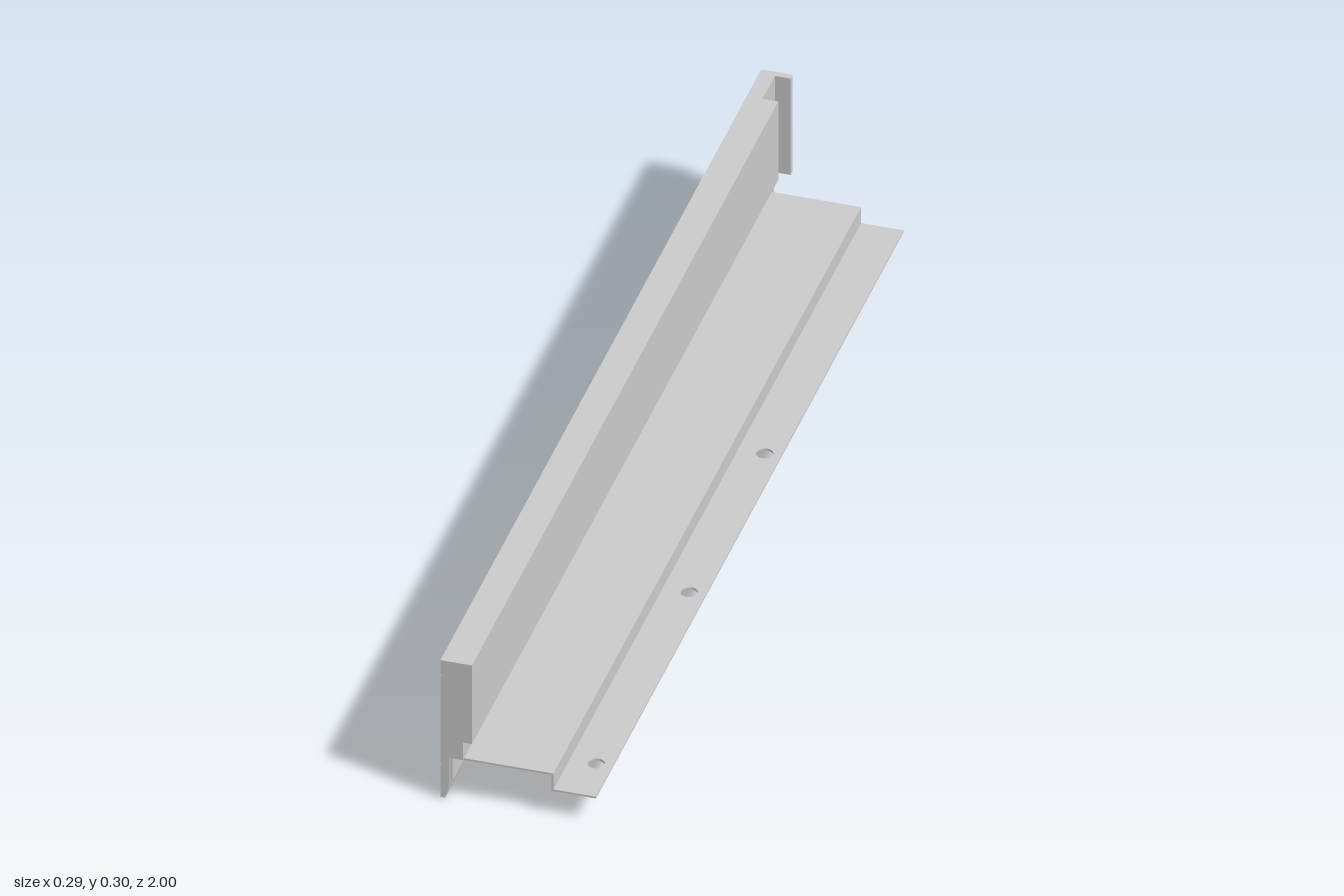
import * as THREE from 'three';

const material = new THREE.MeshStandardMaterial({ color: 0xcccccc, flatShading: true });

// Extrudes an x-y outline between two z positions
function profile(name, points, z0, z1) {
  const shape = new THREE.Shape(points.map(([x, y]) => new THREE.Vector2(x, y)));
  const geometry = new THREE.ExtrudeGeometry(shape, { depth: z1 - z0, bevelEnabled: false });
  geometry.translate(0, 0, z0);
  const mesh = new THREE.Mesh(geometry, material);
  mesh.name = name;
  return mesh;
}

function box(name, x0, x1, y0, y1, z0, z1) {
  const geometry = new THREE.BoxGeometry(x1 - x0, y1 - y0, z1 - z0);
  geometry.translate((x0 + x1) / 2, (y0 + y1) / 2, (z0 + z1) / 2);
  const mesh = new THREE.Mesh(geometry, material);
  mesh.name = name;
  return mesh;
}

export function createModel() {
  const model = new THREE.Group();
  model.name = 'trimRail';

  const outer = -0.147, inner = -0.087, top = 0.303;
  const shelfTop = 0.091, t = 0.004;
  const groove = (y) => [[outer, y + 0.003], [outer + 0.004, y], [outer, y - 0.003]];

  // Upright board with stepped inner face and two shallow outer grooves
  model.add(profile('board', [
    [outer, shelfTop], [-0.104, shelfTop], [-0.104, 0.13], [inner, 0.13],
    [inner, top], [outer, top], ...groove(0.27),
  ], -0.91, 1));

  // Tapered lip hanging below the board
  model.add(profile('lowerLip', [
    [outer, 0.002], [-0.138, 0.002], [-0.134, 0.017], [-0.13, 0.035],
    [-0.13, shelfTop], [outer, shelfTop], ...groove(0.075),
  ], -0.965, 1));

  // Thinner back end of the board, with its foot and return flange
  model.add(profile('backWeb', [
    [outer, shelfTop], [-0.117, shelfTop], [-0.117, top], [outer, top], ...groove(0.27),
  ], -1, -0.91));
  model.add(box('backFoot', outer, -0.123, 0, shelfTop, -1, -0.965));
  model.add(box('backFlange', -0.117, inner, shelfTop, top, -1, -0.987));

  // Folded sheet shelf: hanging edge, flat top and step down
  const z0 = -0.925, z1 = 0.993, low = 0.052;
  model.add(profile('shelf', [
    [-0.13, 0.037], [-0.126, 0.037], [-0.126, shelfTop - t], [0.062, shelfTop - t],
    [0.062, low], [0.066, low], [0.066, shelfTop], [-0.13, shelfTop],
  ], z0, z1));

  // Mounting flange with three screw holes
  const flange = new THREE.Shape([
    [0.066, -z1], [0.147, -z1], [0.147, -z0], [0.066, -z0],
  ].map(([x, y]) => new THREE.Vector2(x, y)));
  for (const z of [-0.16, 0.31, 0.89]) {
    flange.holes.push(new THREE.Path().absarc(0.116, -z, 0.016, 0, Math.PI * 2, true));
  }
  const flangeGeometry = new THREE.ExtrudeGeometry(flange, { depth: t, bevelEnabled: false, curveSegments: 24 });
  flangeGeometry.rotateX(-Math.PI / 2).translate(0, low, 0);
  const mountingFlange = new THREE.Mesh(flangeGeometry, material);
  mountingFlange.name = 'mountingFlange';
  model.add(mountingFlange);

  return model;
}
